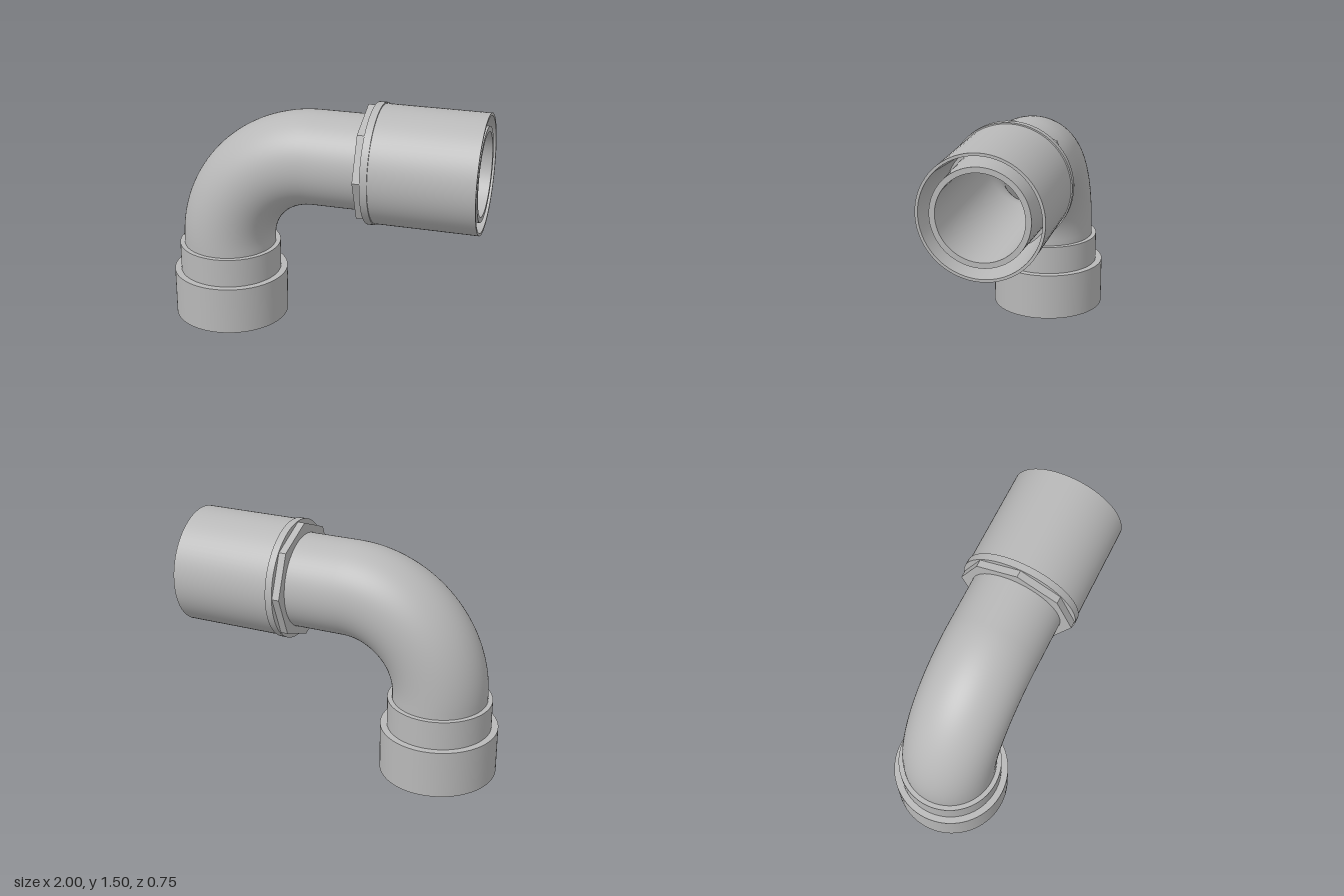
import * as THREE from 'three';
import { mergeGeometries } from 'three/addons/utils/BufferGeometryUtils.js';

const AXIS_X = -0.633, AXIS_Y = 1.12, BEND = 0.593;
const PIPE = 0.295, BORE = 0.255;

// Revolve each profile segment on its own so the corners stay sharp.
function turned(profile, sides = 72) {
  const bands = [];
  for (let i = 0; i < profile.length - 1; i++) {
    const ends = [profile[i], profile[i + 1]].map(([r, h]) => new THREE.Vector2(r, h));
    bands.push(new THREE.LatheGeometry(ends, sides));
  }
  return mergeGeometries(bands);
}

export function createModel() {
  const group = new THREE.Group();
  const grey = new THREE.MeshStandardMaterial({ color: 0xb8b8b8, side: THREE.DoubleSide });
  grey.name = 'grey';

  const add = (name, geometry) => {
    const mesh = new THREE.Mesh(geometry, grey);
    mesh.name = name;
    group.add(mesh);
  };
  const upright = (name, profile) => add(name, turned(profile).translate(AXIS_X, 0, 0));
  const level = (name, geometry) => add(name, geometry.rotateZ(-Math.PI / 2).translate(0, AXIS_Y, 0));

  // Quarter bend with its straight runs, outside and inside
  const bendX = AXIS_X + BEND, bendY = AXIS_Y - BEND;
  for (const [name, r, bottom] of [['pipe', PIPE, 0.49], ['bore', BORE, 0.16]]) {
    add(name + 'Bend', new THREE.TorusGeometry(BEND, r, 72, 40, Math.PI / 2)
      .rotateZ(Math.PI / 2).translate(bendX, bendY, 0));
    upright(name + 'Lower', [[r, bottom], [r, bendY]]);
    level(name + 'Upper', turned([[r, bendX], [r, r === PIPE ? 0.6 : 0.995]]));
  }

  // Stepped lower socket, hollow from below
  upright('lowerSocket', [
    [0.27, 0.16], [0.27, 0.135], [0.352, 0.135], [0.36, 0], [0.367, 0],
    [0.367, 0.305], [0.325, 0.305], [0.325, 0.49], [PIPE, 0.49],
  ]);
  upright('lowerSeat', [[BORE, 0.16], [0.27, 0.16]]);

  // Inner spigot at the open end
  level('spigot', turned([[0.302, 0.6], [0.288, 0.995], [BORE, 0.995]]));

  // Sleeve around the spigot with a tapered inside and a raised collar
  level('sleeve', turned([
    [0.302, 0.6], [0.32, 0.6], [0.35, 1], [0.367, 1], [0.367, 0.365],
  ]));
  level('collar', turned([
    [0.367, 0.365], [0.375, 0.365], [0.375, 0.32], [PIPE, 0.32],
  ]));

  // Eight-sided nut behind the collar
  const nut = new THREE.Shape();
  for (let i = 0; i < 8; i++) {
    const a = i * Math.PI / 4;
    nut[i ? 'lineTo' : 'moveTo'](0.37 * Math.cos(a), 0.37 * Math.sin(a));
  }
  nut.closePath();
  nut.holes.push(new THREE.Path().absarc(0, 0, PIPE - 0.003, 0, Math.PI * 2, true));
  const nutGeometry = new THREE.ExtrudeGeometry(nut, { depth: 0.047, bevelEnabled: false, curveSegments: 36 });
  add('nut', nutGeometry.rotateY(Math.PI / 2).translate(0.275, AXIS_Y, 0));

  return group;
}
